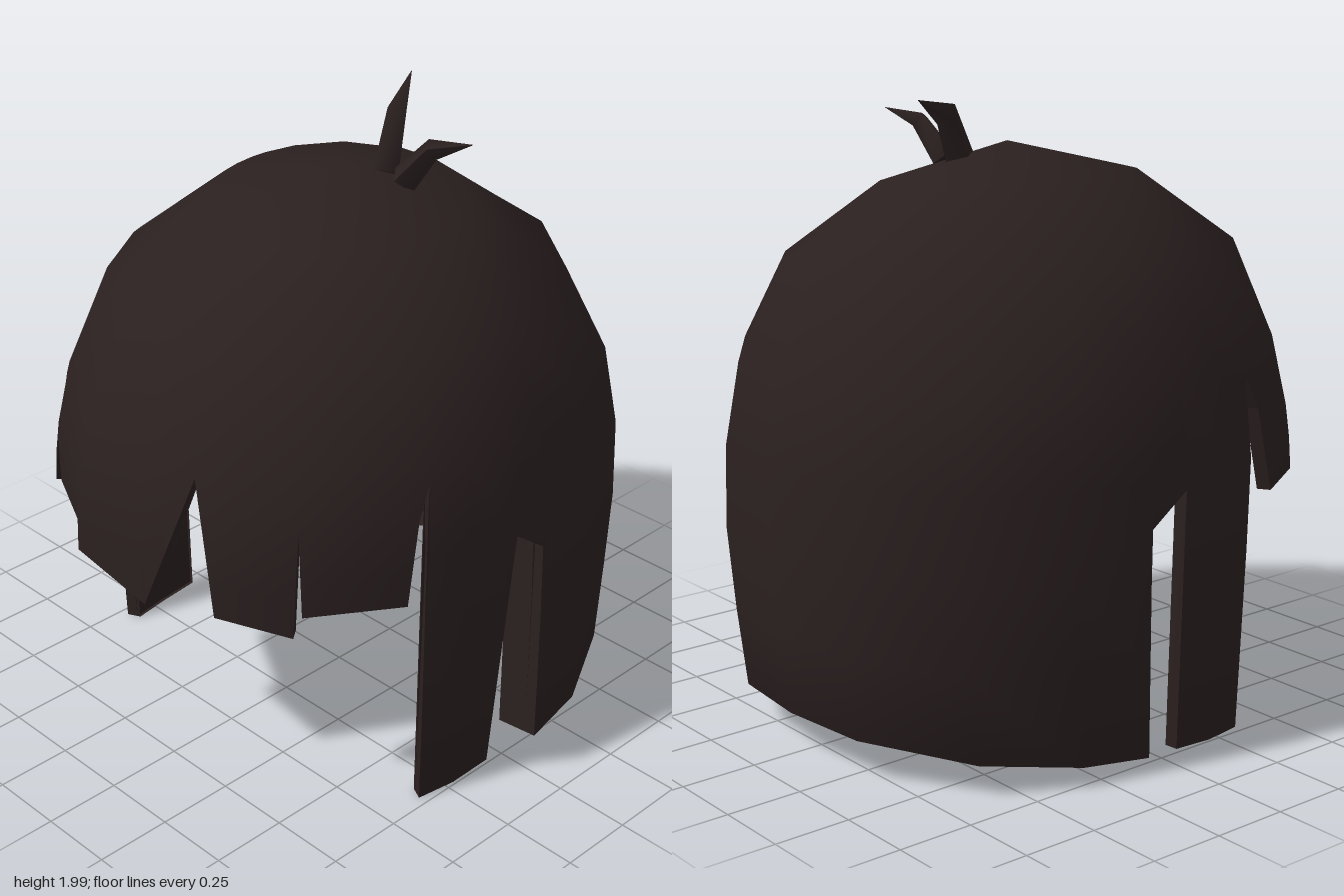
import * as THREE from 'three';
import { mergeGeometries } from 'three/addons/utils/BufferGeometryUtils.js';

// Dome profile: [height, share of the full radius]
const PROFILE = [[1.84, 0], [1.73, 0.465], [1.5, 0.82], [1.2, 0.96], [0.95, 1], [-1, 1]];
const DOME_ROWS = [1.84, 1.73, 1.5, 1.2];
const LOWER_ROWS = 4;
const SHEET = 0.045;

// Hem outline: [degrees from the front towards +x, height, outward flare, width of the inward lip]
const FRINGE = [
  [-68.8, 1.15, 0, 0.05], [-66.5, 1.05, 0.01, 0.05], [-64.2, 0.78, 0.02, 0.05], [-42.8, 0.77, 0.02, 0.05],
  [-37.5, 0.96, 0, 0.05], [-36, 0.82, -0.01, 0.05], [-13.6, 0.78, -0.02, 0.05],
  [-13.2, 0.75, 0.01, 0.05], [6, 0.71, 0.005, 0.05], [18.9, 1.18, 0, 0.05],
  [22.7, 0.74, -0.01, 0.05], [40.5, 0.705, 0, 0.05], [41.7, 1.05, 0, 0.05], [42.6, 0.79, 0.02, 0.05],
  [64.2, 0.79, 0.03, 0.05], [66.5, 1.05, 0.01, 0.05], [68.8, 1.15, 0, 0.05],
];
// Sideburn, gap and back curtain, mirrored for the other side
const SIDE = [
  [69.2, 0.005, -0.05, 0.06], [78, 0.005, -0.06, 0.06], [86.8, 0.015, -0.07, 0.06], [88.6, 0.87, 0, 0.06],
  [94.2, 0.77, 0, 0.17], [94.5, 0.05, 0, 0.17], [109, 0.07, 0, 0.17], [132.5, 0.105, 0, 0.17],
  [162, 0.135, 0, 0.17], [180, 0.14, 0, 0.17],
];
const HEM = [...SIDE.map(([a, ...rest]) => [-a, ...rest]).reverse(), ...FRINGE, ...SIDE];

function radiusAt(y) {
  for (let i = 1; i < PROFILE.length; i++) {
    const [y0, k0] = PROFILE[i - 1], [y1, k1] = PROFILE[i];
    if (y >= y1) return k0 + (k1 - k0) * (y0 - y) / (y0 - y1);
  }
  return 1;
}

// Point on the head surface, moved inwards by the inset; the plan is rounder near the crown
function surface(deg, y, flare, inset) {
  const a = THREE.MathUtils.degToRad(deg), s = Math.sin(a), c = Math.cos(a);
  const k = radiusAt(y) * (1 + flare) * (1 - inset);
  const low = THREE.MathUtils.clamp((1.5 - y) / 0.7, 0, 1);
  const power = THREE.MathUtils.lerp(0.97, c < 0 ? 0.84 : 0.88, low);
  const x = 0.803 * k * Math.sign(s) * Math.abs(s) ** power;
  let z = 0.925 * k * Math.sign(c) * Math.abs(c) ** power;
  if (z < 0) z *= 1 - 0.07 * Math.max(0, (0.6 - y) / 0.47);
  const crown = Math.max(0, y - 1.2);
  return [x, y - inset * crown * 1.4 - 0.14 * x * crown, z];
}

// One side of the shell, with smooth rounded normals
function shellSide(inset) {
  const pos = [], nor = [], index = [], rows = DOME_ROWS.length + LOWER_ROWS;
  const sign = inset ? -1 : 1;
  for (const [deg, hem, flare] of HEM) {
    for (let j = 0; j < rows; j++) {
      const t = Math.max(0, (j - DOME_ROWS.length + 1) / LOWER_ROWS);
      const y = t > 0 ? 1.2 + (hem - 1.2) * t : DOME_ROWS[j];
      const p = surface(deg, y, flare * t, inset);
      pos.push(...p);
      const n = new THREE.Vector3(p[0] / 0.64, Math.max(0, p[1] - 0.85) / 0.95, p[2] / 0.86);
      if (p[1] < 0.5) n.y -= (0.5 - p[1]) * sign;
      nor.push(...n.normalize().multiplyScalar(sign).toArray());
    }
  }
  for (let i = 0; i < HEM.length - 1; i++) {
    for (let j = 0; j < rows - 1; j++) {
      const a = i * rows + j, b = a + 1, d = a + rows, c = d + 1;
      if (inset) index.push(a, c, b, a, d, c);
      else index.push(a, b, c, a, c, d);
    }
  }
  const g = new THREE.BufferGeometry();
  g.setAttribute('position', new THREE.Float32BufferAttribute(pos, 3));
  g.setAttribute('normal', new THREE.Float32BufferAttribute(nor, 3));
  g.setIndex(index);
  return g.toNonIndexed();
}

// Lip turned inwards along the hem
function hemLip() {
  const pos = [];
  const pair = ([deg, y, flare, lip]) => [surface(deg, y, flare, 0), surface(deg, y, flare, lip)];
  for (let i = 0; i < HEM.length - 1; i++) {
    const [a, b] = pair(HEM[i]), [d, c] = pair(HEM[i + 1]);
    pos.push(...a, ...b, ...c, ...a, ...c, ...d);
  }
  const g = new THREE.BufferGeometry();
  g.setAttribute('position', new THREE.Float32BufferAttribute(pos, 3));
  g.computeVertexNormals();
  return g;
}

// Bent, tapering tuft along [x, y, z, radius] points
function tuft(points) {
  const n = points.length - 1;
  const path = points.map(([x, y, z]) => new THREE.Vector3(x, y, z));
  const g = new THREE.CylinderGeometry(1, 1, 1, 4, n);
  const pos = g.attributes.position, v = new THREE.Vector3(), q = new THREE.Quaternion();
  const up = new THREE.Vector3(0, 1, 0);
  for (let i = 0; i < pos.count; i++) {
    const row = Math.round((pos.getY(i) + 0.5) * n);
    const dir = path[Math.min(n, row + 1)].clone().sub(path[Math.max(0, row - 1)]).normalize();
    q.setFromUnitVectors(up, dir);
    v.set(pos.getX(i), 0, pos.getZ(i)).multiplyScalar(points[row][3]).applyQuaternion(q).add(path[row]);
    pos.setXYZ(i, v.x, v.y, v.z);
  }
  g.computeVertexNormals();
  return g;
}

export function createModel() {
  const group = new THREE.Group();
  group.name = 'hair';
  const hair = new THREE.MeshStandardMaterial({ color: 0x2b2020, side: THREE.DoubleSide });
  hair.name = 'dark brown hair';
  const add = (name, geometry) => {
    const mesh = new THREE.Mesh(geometry, hair);
    mesh.name = name;
    group.add(mesh);
  };

  // Crown, fringe, sideburns and back curtain as one shell with a turned-in hem
  add('hairShell', mergeGeometries([shellSide(0), shellSide(SHEET)]));
  add('hemLip', hemLip());

  // Two stray tufts on the crown
  add('tallTuft', tuft([[0.06, 1.78, -0.14, 0.055], [0.015, 1.935, -0.23, 0.042], [-0.11, 1.999, -0.43, 0.001]]));
  add('shortTuft', tuft([[0.14, 1.78, -0.14, 0.05], [0.225, 1.895, -0.175, 0.034], [0.345, 1.93, -0.22, 0.001]]));
  return group;
}
